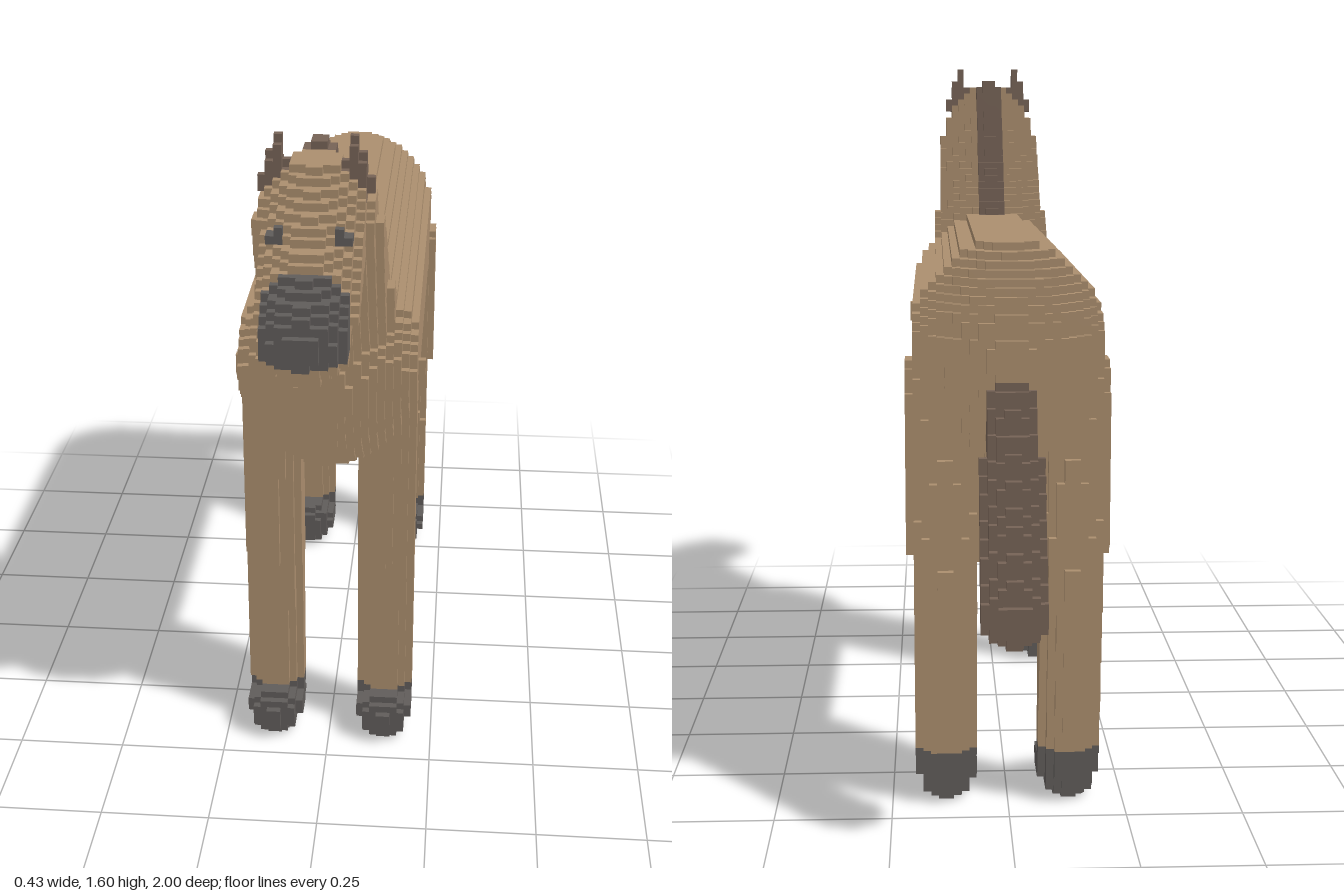
import * as THREE from 'three';

const S = 1 / 60; // edge length of one cube

const mat = (name, color) => Object.assign(new THREE.MeshStandardMaterial({ color }), { name });

// Tapered capsule between points a and b; sx squeezes it sideways.
function capsule(a, b, ra, rb, sx = 1) {
  const A = new THREE.Vector3(...a), d = new THREE.Vector3(...b).sub(A), len2 = d.lengthSq() || 1;
  const q = new THREE.Vector3();
  const inside = (p) => {
    q.set(A.x + (p.x - A.x) / sx, p.y, p.z).sub(A);
    const t = THREE.MathUtils.clamp(q.dot(d) / len2, 0, 1);
    return q.addScaledVector(d, -t).length() <= ra + (rb - ra) * t;
  };
  const box = new THREE.Box3().setFromPoints([A, new THREE.Vector3(...b)]).expandByScalar(Math.max(ra, rb) + S);
  return { inside, box };
}

const key = (i, j, k) => ((i + 100) * 256 + (j + 100)) * 256 + (k + 100);

// Claims every free cell whose centre lies in one of the part's shapes.
function fill(grid, part) {
  const p = new THREE.Vector3();
  part.cells = [];
  for (const { inside, box } of part.shapes) {
    const lo = box.min.clone().divideScalar(S).floor(), hi = box.max.clone().divideScalar(S).ceil();
    for (let i = lo.x; i < hi.x; i++)
      for (let j = Math.max(0, lo.y); j < hi.y; j++)
        for (let k = lo.z; k < hi.z; k++) {
          p.set(i + 0.5, j + 0.5, k + 0.5).multiplyScalar(S);
          if (grid.has(key(i, j, k)) || !inside(p) || (part.clip && !part.clip(p))) continue;
          grid.add(key(i, j, k));
          part.cells.push([i, j, k]);
        }
  }
}

// Builds only the outward cube faces that are not covered by a neighbour.
function cubeSurface(grid, cells) {
  const pos = [], nor = [], idx = [];
  for (const c of cells)
    for (let a = 0; a < 3; a++)
      for (const s of [1, -1]) {
        const n = [0, 0, 0];
        n[a] = s;
        if (grid.has(key(c[0] + n[0], c[1] + n[1], c[2] + n[2]))) continue;
        const u = (a + 1) % 3, v = (a + 2) % 3, base = pos.length / 3;
        for (const [du, dv] of [[0, 0], [1, 0], [1, 1], [0, 1]]) {
          const q = [...c];
          q[a] += s > 0 ? 1 : 0;
          q[u] += du;
          q[v] += dv;
          pos.push(q[0] * S, q[1] * S, q[2] * S);
          nor.push(...n);
        }
        const order = s > 0 ? [0, 1, 2, 0, 2, 3] : [0, 2, 1, 0, 3, 2];
        idx.push(...order.map((o) => base + o));
      }
  const g = new THREE.BufferGeometry();
  g.setAttribute('position', new THREE.Float32BufferAttribute(pos, 3));
  g.setAttribute('normal', new THREE.Float32BufferAttribute(nor, 3));
  g.setIndex(idx);
  return g;
}

export function createModel() {
  const coat = mat('coat', 0xab8e6e);
  const hair = mat('hair', 0x766356);
  const dark = mat('darkGrey', 0x605c5a);
  const parts = [];
  const add = (name, material, shapes, clip) => parts.push({ name, material, shapes, clip });

  const headShape = capsule([0, 1.45, 0.64], [0, 1.287, 0.908], 0.107, 0.09);
  const legs = [];

  for (const [side, sx] of [['left', 1], ['right', -1]]) {
    const x = 0.133 * sx;
    // Eyes and ears
    add(side + 'Eye', dark, [capsule([0.063 * sx, 1.443, 0.805], [0.063 * sx, 1.443, 0.805], 0.018, 0.018)]);
    add(side + 'Ear', hair, [capsule([0.08 * sx, 1.5, 0.645], [0.077 * sx, 1.593, 0.645], 0.032, 0.01)]);

    // Legs: straight in front, bent at the hock behind
    const front = [capsule([x, 0.98, 0.325], [x, 0.06, 0.325], 0.076, 0.06)];
    const hind = [
      capsule([x, 0.92, -0.605], [x, 0.49, -0.655], 0.092, 0.073),
      capsule([x, 0.49, -0.655], [x, 0.06, -0.62], 0.073, 0.06),
    ];
    const low = (p) => p.y < 0.12;
    add(side + 'FrontHoof', dark, [capsule([x, 0.06, 0.325], [x, 0.06, 0.385], 0.061, 0.061), ...front], low);
    add(side + 'HindHoof', dark, [capsule([x, 0.06, -0.62], [x, 0.06, -0.54], 0.061, 0.061), ...hind], low);
    legs.push([side + 'FrontLeg', front], [side + 'HindLeg', hind]);
  }

  // Nose, mane and tail
  add('muzzle', dark, [headShape], (p) => p.z > 0.89 && p.y > 1.25);
  add('mane', hair, [capsule([0, 1.2, 0.3], [0, 1.53, 0.555], 0.037, 0.037)]);
  add('tail', hair, [capsule([0, 0.9, -0.8], [0, 0.505, -0.935], 0.056, 0.066)]);

  // Coat-coloured parts
  add('head', coat, [headShape]);
  add('neck', coat, [capsule([0, 1.09, 0.38], [0, 1.41, 0.615], 0.152, 0.126)]);
  add('body', coat, [capsule([0, 0.985, 0.335], [0, 0.985, -0.595], 0.236, 0.236, 0.88)]);
  for (const [name, shapes] of legs) add(name, coat, shapes);

  const grid = new Set();
  const group = new THREE.Group();
  group.name = 'horse';
  for (const part of parts) fill(grid, part);
  for (const part of parts) {
    const mesh = new THREE.Mesh(cubeSurface(grid, part.cells), part.material);
    mesh.name = part.name;
    group.add(mesh);
  }
  return group;
}
